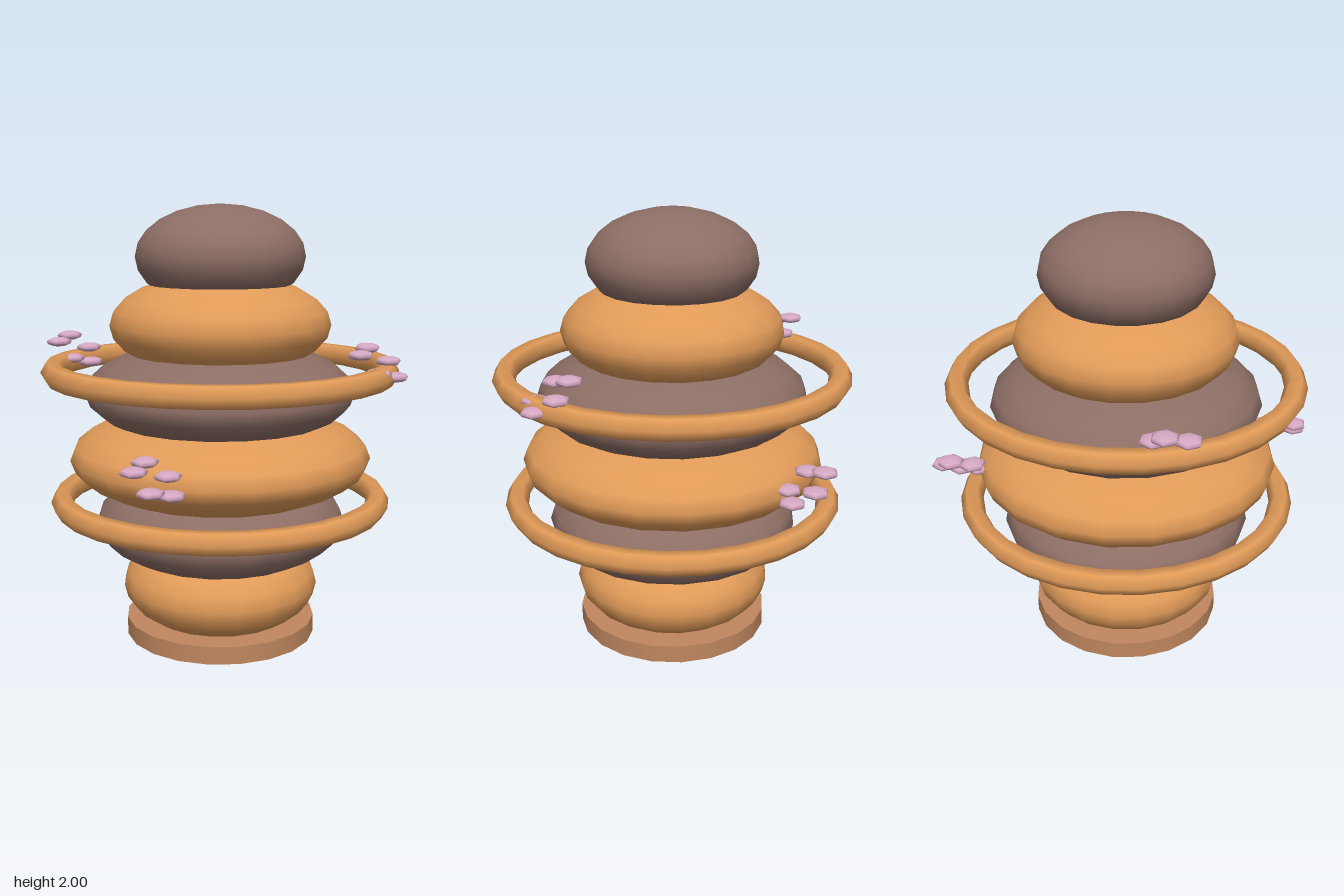
import * as THREE from 'three';

const material = (name, color) => Object.assign(new THREE.MeshStandardMaterial({ color }), { name });

export function createModel() {
  const amber = material('amber', 0xe09a58);
  const brown = material('brown', 0x8d6e65);
  const clay = material('clay', 0xc0875f);
  const pink = material('pink', 0xd6a8c3);

  const model = new THREE.Group();
  model.name = 'stackedTower';
  const axisX = -0.01;

  const add = (parent, name, geometry, mat, x, y, z = 0) => {
    const mesh = new THREE.Mesh(geometry, mat);
    mesh.name = name;
    mesh.position.set(x, y, z);
    parent.add(mesh);
    return mesh;
  };

  // Round foot
  add(model, 'base', new THREE.CylinderGeometry(0.445, 0.445, 0.082, 20), clay, axisX, 0.041);

  // Squashed, overlapping balls, alternating in colour
  [0.457, 0.58, 0.695, 0.62, 0.505, 0.386].forEach((radius, i) => {
    const ball = new THREE.SphereGeometry(1, 20, 12).scale(radius, 0.232, radius);
    add(model, `tier${i + 1}`, ball, i % 2 ? brown : amber, axisX, 0.243 + i * 0.305);
  });

  // Floating hoops with a six-sided section
  const hoop = (name, radius, y) => {
    const ring = new THREE.TorusGeometry(radius, 0.053, 6, 28).rotateX(Math.PI / 2);
    add(model, name, ring, amber, axisX, y);
  };
  hoop('lowerHoop', 0.733, 0.653);
  hoop('upperHoop', 0.763, 1.257);

  // Blossoms: five flat petals on a slanted ring
  const petal = new THREE.SphereGeometry(0.06, 6, 6).rotateY(Math.PI / 2).scale(1, 0.37, 1);
  const blossom = (name, x, y, z) => {
    const group = new THREE.Group();
    group.name = name;
    group.position.set(x, y, z);
    for (let i = 0; i < 5; i++) {
      const a = (i / 5) * Math.PI * 2;
      add(group, `petal${i + 1}`, petal, pink, 0.08 * Math.cos(a), 0.06 * Math.sin(a), -0.08 * Math.sin(a));
    }
    model.add(group);
  };
  blossom('leftBlossom', 0.695, 0.913, -0.305);
  blossom('rightBlossom', -0.718, 0.913, 0.29);
  blossom('frontBlossom', 0.278, 1.317, 0.67);
  blossom('backBlossom', -0.295, 1.317, -0.68);

  return model;
}
